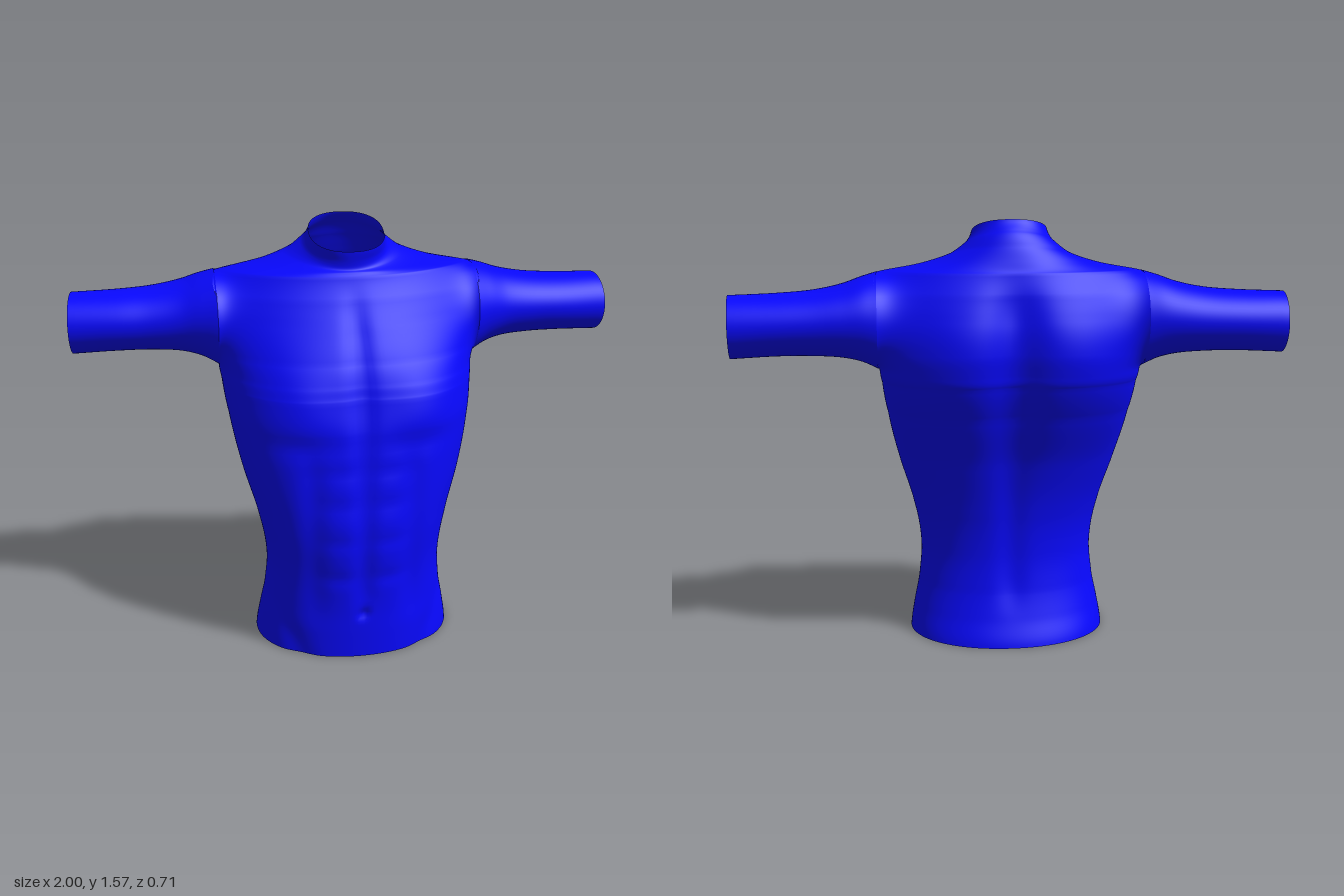
import * as THREE from 'three';
import { mergeGeometries, mergeVertices } from 'three/addons/utils/BufferGeometryUtils.js';

const blue = new THREE.MeshStandardMaterial({ color: 0x0808ff, side: THREE.DoubleSide });

// torso cross-sections: height, half width, front z, back z, side z, taper towards the sides
const SECTIONS = [
  [0.005, 0.375, 0.338, -0.235, 0.05, 0.96],
  [0.10, 0.360, 0.338, -0.200, 0.06, 0.96],
  [0.20, 0.340, 0.338, -0.172, 0.07, 0.95],
  [0.34, 0.330, 0.347, -0.157, 0.08, 0.94],
  [0.50, 0.355, 0.357, -0.168, 0.07, 0.92],
  [0.70, 0.410, 0.343, -0.217, 0.03, 0.87],
  [0.88, 0.447, 0.322, -0.290, -0.03, 0.81],
  [1.00, 0.465, 0.292, -0.338, -0.08, 0.81],
  [1.05, 0.473, 0.276, -0.350, -0.105, 0.83],
  [1.12, 0.476, 0.247, -0.358, -0.110, 0.88],
  [1.22, 0.476, 0.195, -0.350, -0.110, 0.97],
  [1.32, 0.476, 0.138, -0.320, -0.110, 1.15],
  [1.395, 0.474, 0.098, -0.285, -0.110, 1.55],
  [1.42, 0.320, 0.087, -0.262, -0.107, 1.45],
  [1.445, 0.215, 0.079, -0.239, -0.096, 1.28],
  [1.48, 0.160, 0.076, -0.210, -0.075, 1.06],
  [1.53, 0.136, 0.082, -0.180, -0.050, 0.86],
];

const gauss = (d, w) => Math.exp(-(d * d) / (w * w));
const smooth = THREE.MathUtils.smoothstep;

// smooth interpolation between table rows
function sectionAt(k) {
  const i = Math.min(Math.floor(k), SECTIONS.length - 2), t = k - i;
  const row = n => SECTIONS[THREE.MathUtils.clamp(n, 0, SECTIONS.length - 1)];
  return row(i).map((p1, c) => {
    const p0 = row(i - 1)[c], p2 = row(i + 1)[c], p3 = row(i + 2)[c];
    if (c === 0) return p1 + (p2 - p1) * t;
    return p1 + 0.5 * t * (p2 - p0 + t * (2 * p0 - 5 * p1 + 4 * p2 - p3 + t * (3 * (p1 - p2) + p3 - p0)));
  });
}

// half depth of the armhole at a height
function armhole(y) {
  const h = (y - 1.2225) / 0.1725;
  return Math.abs(h) >= 0.9999 ? 0 : 0.18 * Math.sqrt(1 - h * h);
}

// chest and stomach muscles
function frontRelief(x, y) {
  const a = Math.abs(x);
  const belly = smooth(y, 0.1, 0.3) * (1 - smooth(y, 0.72, 0.86));
  let d = -0.014 * gauss(x, 0.04) * smooth(y, 0.15, 0.3) * (1 - smooth(y, 1.2, 1.4));
  d -= 0.011 * gauss(a - 0.18, 0.045) * belly;
  for (const c of [0.33, 0.48, 0.62, 0.75]) d -= 0.006 * gauss(y - c, 0.03) * gauss(a - 0.09, 0.07) * belly;
  d += 0.018 * gauss(a - 0.23, 0.15) * gauss(y - 0.98, 0.11);
  d -= 0.010 * gauss(a - 0.2, 0.12) * gauss(y - 0.84 - 0.3 * (a - 0.2) ** 2, 0.045);
  d -= 0.015 * gauss(x, 0.02) * gauss(y - 0.18, 0.02);
  d -= 0.010 * gauss(a - 0.27 - 0.4 * (y - 0.1), 0.045) * (1 - smooth(y, 0.05, 0.25));
  return d;
}

// spine groove and shoulder blades
function backRelief(x, y) {
  return -0.04 * gauss(x, 0.09) * smooth(y, 0.4, 1.0) * (1 - smooth(y, 1.22, 1.45))
    - 0.012 * gauss(x, 0.05) * smooth(y, 0.08, 0.25) * (1 - smooth(y, 0.5, 0.9))
    + 0.012 * gauss(Math.abs(x) - 0.22, 0.12) * gauss(y - 1.12, 0.16);
}

// grid of points f(row, column) turned into a surface
function grid(rows, cols, f) {
  const pos = [], idx = [];
  for (let j = 0; j <= rows; j++) {
    for (let i = 0; i <= cols; i++) {
      pos.push(...f(j / rows, i / cols));
      if (j === rows || i === cols) continue;
      const a = j * (cols + 1) + i, b = a + cols + 1;
      idx.push(a, a + 1, b + 1, a, b + 1, b);
    }
  }
  const g = new THREE.BufferGeometry();
  g.setAttribute('position', new THREE.Float32BufferAttribute(pos, 3));
  g.setIndex(idx);
  return g;
}

function weld(geometries) {
  const g = mergeVertices(mergeGeometries(geometries), 1e-4);
  g.computeVertexNormals();
  return g;
}

// one half of the torso: side = 1 front, -1 back
function torsoPanel(side) {
  return grid((SECTIONS.length - 1) * 8, 96, (v, u) => {
    const [y, hw, zf, zb, zs, p] = sectionAt(v * (SECTIONS.length - 1));
    const th = (u - 0.5) * Math.PI, s = Math.sin(th), c = Math.max(0, Math.cos(th));
    const x = side * hw * Math.sign(s) * Math.pow(Math.abs(s), Math.min(p, 1));
    // the rounded section opens out into the armhole towards its ends
    const depth = Math.abs((side > 0 ? zf : zb) - zs) * Math.pow(c, p);
    const hole = armhole(y) * Math.pow(Math.abs(s), 1.5);
    const relief = (side > 0 ? frontRelief : backRelief)(x, y) * smooth(c, 0, 0.5);
    const z = zs + side * (Math.cbrt(depth ** 3 + hole ** 3) + relief);
    // the collar leans forward
    const tilt = smooth(y, 1.395, 1.48) * -0.365;
    return [x, y + tilt * (z + 0.05), z];
  });
}

// sleeve rings: x, bottom y, top y, back z, front z
const RINGS = [
  [0.475, 1.050, 1.396, -0.291, 0.071],
  [0.530, 1.078, 1.380, -0.293, 0.045],
  [0.600, 1.096, 1.356, -0.292, 0.018],
  [0.700, 1.104, 1.336, -0.288, 0.000],
  [0.820, 1.105, 1.326, -0.284, -0.010],
  [0.990, 1.098, 1.320, -0.278, -0.032],
];

function sleeveGeometry(side) {
  const path = c => new THREE.CatmullRomCurve3(RINGS.map(r => new THREE.Vector3(r[0], r[c], r[c + 1])));
  const yCurve = path(1), zCurve = path(3);
  return weld([grid(30, 64, (v, u) => {
    const a = side * u * Math.PI * 2;
    const q = yCurve.getPoint(v), w = zCurve.getPoint(v);
    const y = (q.y + q.z) / 2 + Math.sin(a) * (q.z - q.y) / 2;
    const z = (w.y + w.z) / 2 - Math.cos(a) * (w.z - w.y) / 2;
    // the cuff is cut slightly longer at the front
    return [side * (q.x - Math.cos(a) * 0.01 * v), y, z];
  })]);
}

export function createModel() {
  const group = new THREE.Group();
  const add = (name, geometry) => {
    const mesh = new THREE.Mesh(geometry, blue);
    mesh.name = name;
    group.add(mesh);
  };
  add('shirtBody', weld([torsoPanel(1), torsoPanel(-1)]));
  add('leftSleeve', sleeveGeometry(1));
  add('rightSleeve', sleeveGeometry(-1));
  return group;
}
